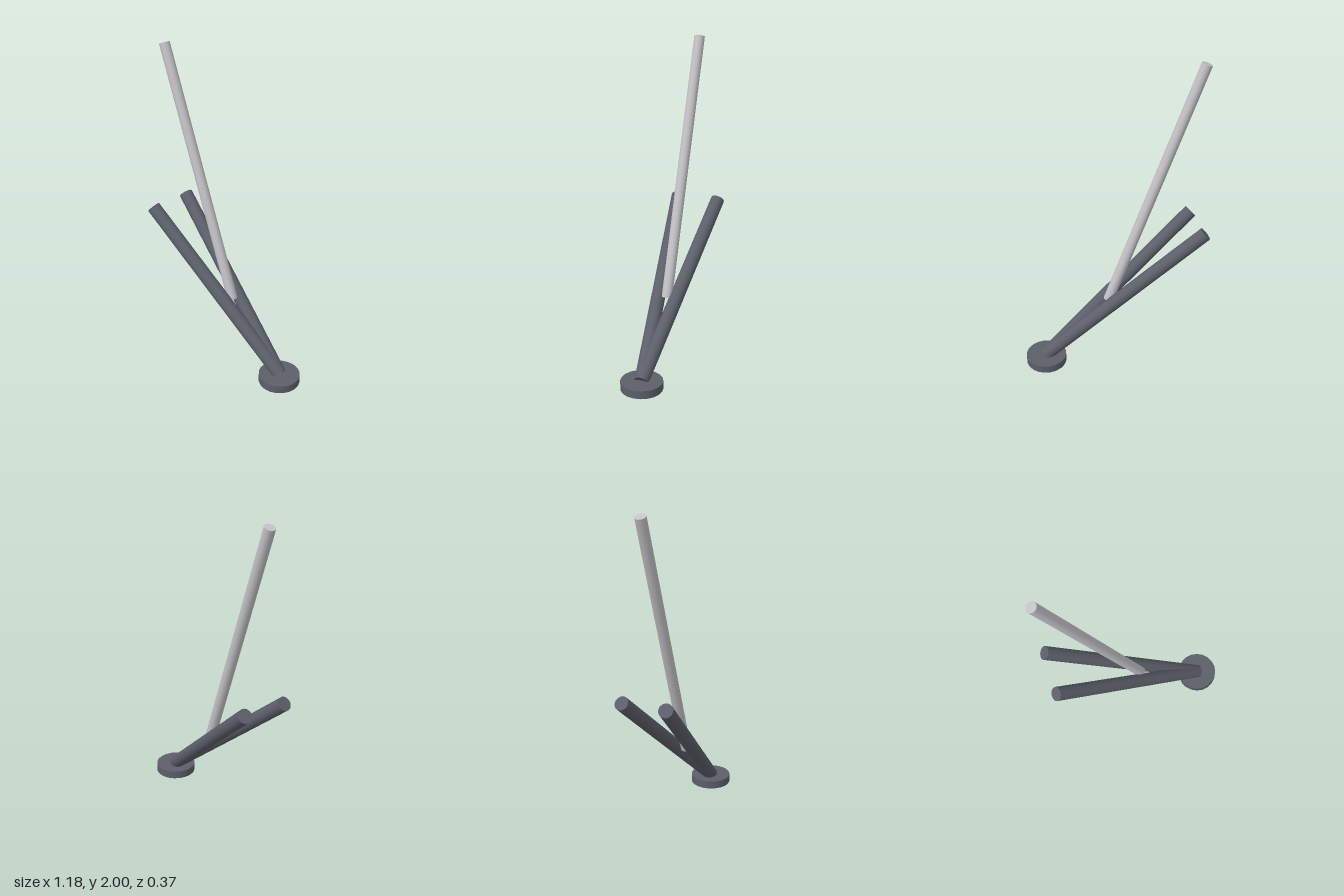
import * as THREE from 'three';

export function createModel() {
  const model = new THREE.Group();
  const darkGrey = new THREE.MeshStandardMaterial({ color: 0x5c5f69 });
  darkGrey.name = 'dark grey';
  const lightGrey = new THREE.MeshStandardMaterial({ color: 0xc2c2c7 });
  lightGrey.name = 'light grey';

  // Straight round bar running from one point to another
  function bar(name, from, to, radius, material) {
    const a = new THREE.Vector3(...from);
    const b = new THREE.Vector3(...to);
    const axis = b.clone().sub(a);
    const mesh = new THREE.Mesh(new THREE.CylinderGeometry(radius, radius, axis.length(), 16), material);
    mesh.name = name;
    mesh.position.copy(a).add(b).multiplyScalar(0.5);
    mesh.quaternion.setFromUnitVectors(new THREE.Vector3(0, 1, 0), axis.normalize());
    model.add(mesh);
  }

  // Round foot
  const foot = new THREE.Mesh(new THREE.CylinderGeometry(0.131, 0.131, 0.052, 20), darkGrey);
  foot.name = 'foot';
  foot.position.set(0.457, 0.026, 0);
  model.add(foot);

  // Pair of arms spreading from the foot
  for (const side of [1, -1]) {
    bar(side > 0 ? 'frontArm' : 'backArm', [0.457, 0.052, 0], [-0.56, 0.912, side * 0.14], 0.0445, darkGrey);
  }

  // Tall pole rising from between the arms
  bar('pole', [0.03, 0.42, 0], [-0.56, 1.988, 0], 0.0335, lightGrey);

  return model;
}
